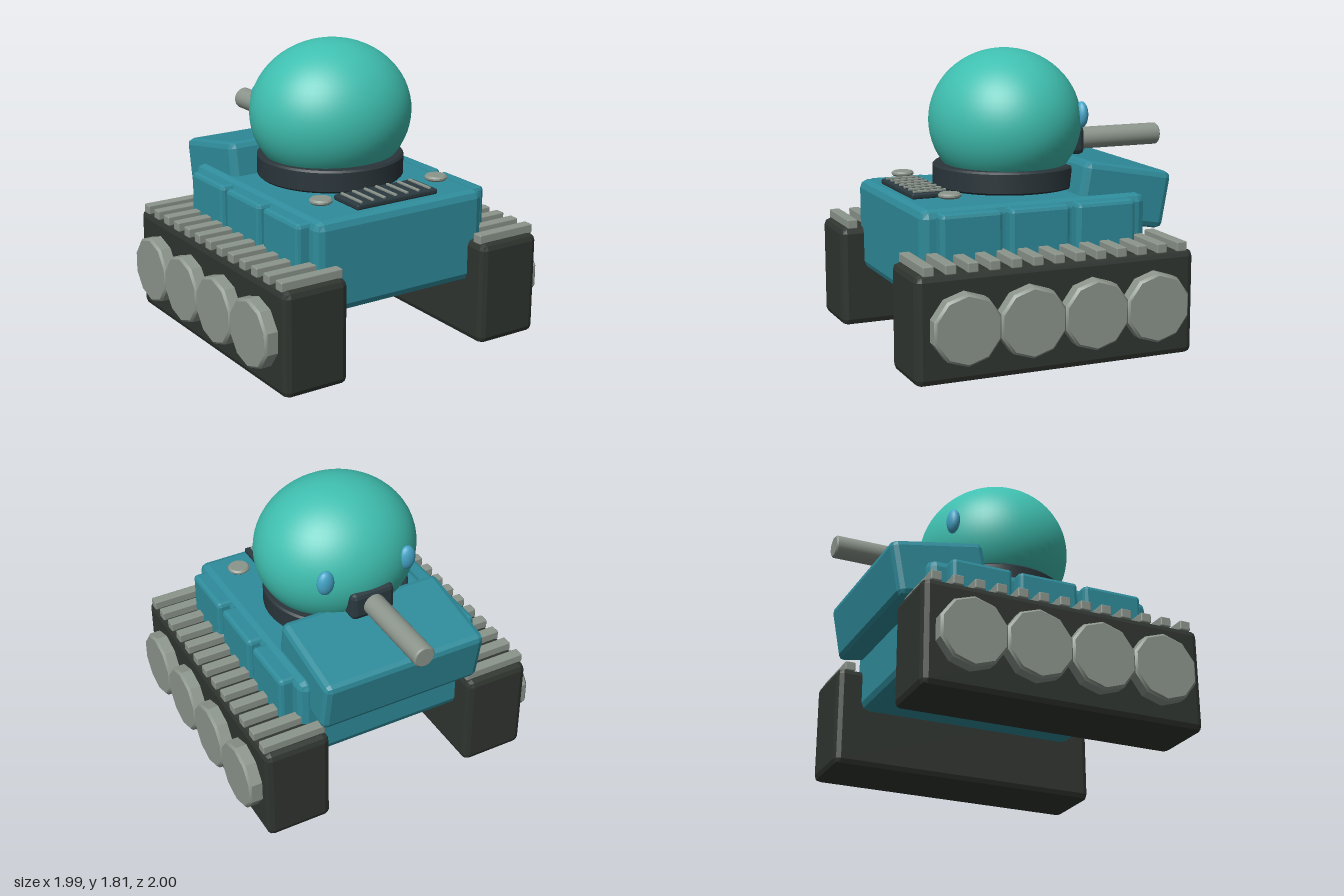
import * as THREE from 'three';
import { RoundedBoxGeometry } from 'three/addons/geometries/RoundedBoxGeometry.js';
import { toCreasedNormals } from 'three/addons/utils/BufferGeometryUtils.js';

export function createModel() {
  const model = new THREE.Group();
  model.name = 'roundTurretTank';

  const paint = (color, flatShading = false) => new THREE.MeshStandardMaterial({ color, flatShading });
  const hullBlue = paint(0x2f8c9b, true);
  const domeTeal = paint(0x3fbfb0);
  const eyeBlue = paint(0x45a5c8);
  const trackDark = paint(0x303530, true);
  const metal = paint(0x8c958c);
  const ringDark = paint(0x2a353a);
  const grilleDark = paint(0x2b3a40, true);

  function add(name, geometry, material, x, y, z, parent = model) {
    const mesh = new THREE.Mesh(geometry, material);
    mesh.name = name;
    mesh.position.set(x, y, z);
    parent.add(mesh);
    return mesh;
  }

  // Box with bevelled edges, given by its size and centre
  const block = (name, material, [w, h, d], [x, y, z], bevel, parent) =>
    add(name, new RoundedBoxGeometry(w, h, d, 1, bevel), material, x, y, z, parent);

  // Closed cylinder along y with bevelled rims, centred on its middle
  function disc(radius, height, bevel, sides, phi = 0) {
    const h = height / 2;
    const profile = [
      [0, -h], [radius - bevel, -h], [radius, -h + bevel],
      [radius, h - bevel], [radius - bevel, h], [0, h],
    ].map(([r, y]) => new THREE.Vector2(r, y));
    return toCreasedNormals(new THREE.LatheGeometry(profile, sides, phi), 0.5);
  }

  function ellipsoid(name, material, [rx, ry, rz], [x, y, z], detail) {
    const geometry = new THREE.SphereGeometry(1, detail, detail / 2).scale(rx, ry, rz);
    return add(name, geometry, material, x, y, z);
  }

  // Hull and the sloped box under the gun
  block('hull', hullBlue, [1.2, 0.57, 1.46], [0, 0.665, 0.12], 0.05);
  block('slopedBox', hullBlue, [1.08, 0.36, 0.6], [0, 0.93, -0.5], 0.04).rotation.x = -0.18;

  // Turret: neck, ring and dome
  add('turretNeck', disc(0.22, 0.06, 0.005, 32), ringDark, 0, 0.96, 0.07);
  add('turretRing', disc(0.457, 0.14, 0.012, 64), ringDark, 0, 1.035, 0.07);
  ellipsoid('dome', domeTeal, [0.515, 0.45, 0.47], [0, 1.365, 0.075], 64);

  // Gun
  block('gunMount', grilleDark, [0.29, 0.18, 0.14], [0, 1.225, -0.347], 0.03);
  add('barrel', disc(0.07, 0.66, 0.01, 24), metal, 0, 1.22, -0.67).rotation.x = -Math.PI / 2;

  // Deck grille with slats
  const grille = new THREE.Group();
  grille.name = 'grille';
  model.add(grille);
  block('grillePlate', grilleDark, [0.58, 0.035, 0.25], [0, 0.978, 0.668], 0.01, grille);
  for (let i = -3; i <= 3; i++) {
    block('grilleSlat', metal, [0.018, 0.018, 0.21], [i * 0.0825, 0.998, 0.668], 0.004, grille);
  }

  for (const side of [1, -1]) {
    const label = side > 0 ? 'left' : 'right';

    // Eye and deck hatch
    ellipsoid(label + 'Eye', eyeBlue, [0.056, 0.082, 0.04], [side * 0.278, 1.41, -0.322], 24);
    add(label + 'Hatch', disc(0.07, 0.03, 0.01, 16), metal, side * 0.42, 0.998, 0.605);

    // Side armour panels
    for (let i = 0; i < 3; i++) {
      block(label + 'SidePanel', hullBlue, [0.16, 0.39, 0.39],
        [side * 0.6, 0.74, 0.563 - i * 0.433], 0.025);
    }

    // Track block with treads along its top
    const track = new THREE.Group();
    track.name = label + 'Track';
    model.add(track);
    block('trackBody', trackDark, [0.425, 0.645, 1.77], [side * 0.7, 0.328, 0.115], 0.04, track);
    for (let i = 0; i < 13; i++) {
      block('tread', metal, [0.41, 0.06, 0.068], [side * 0.703, 0.672, 0.92 - i * 0.134], 0.008, track);
    }

    // Ten-sided road wheels
    for (let i = 0; i < 4; i++) {
      const wheel = add('wheel', disc(0.213, 0.14, 0.015, 10, Math.PI / 2), metal,
        side * 0.926, 0.335, 0.715 - i * 0.402, track);
      wheel.rotation.z = -side * Math.PI / 2;
    }
  }
  return model;
}
